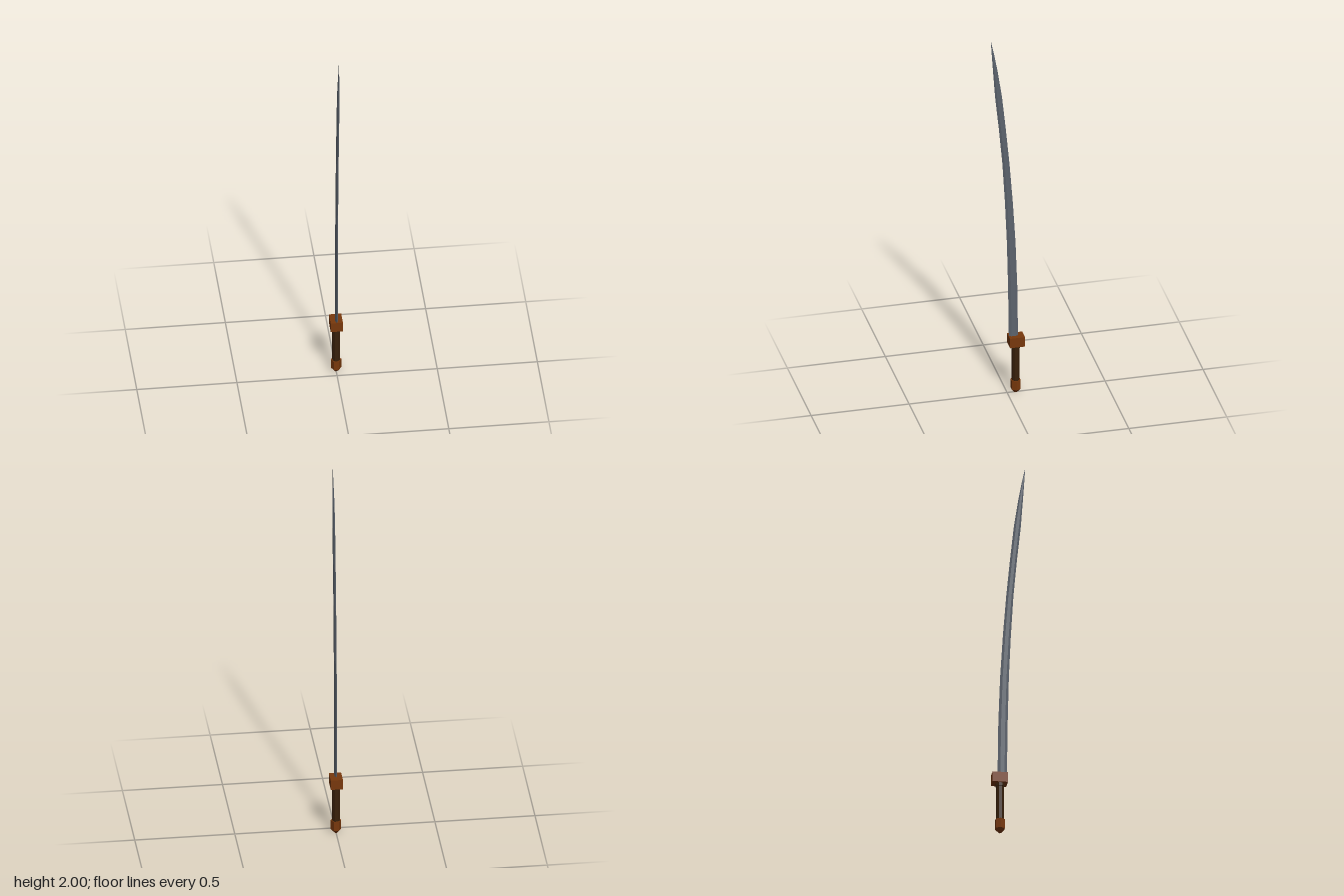
import * as THREE from 'three';

const mat = (name, color) => {
  const m = new THREE.MeshStandardMaterial({ color, flatShading: true });
  m.name = name;
  return m;
};

// Blade stations: height, back z, edge z, half thickness
const STATIONS = [
  [0.30, -0.056, -0.009, 0.006],
  [0.60, -0.052, -0.005, 0.006],
  [0.85, -0.043, 0.001, 0.006],
  [1.08, -0.029, 0.011, 0.006],
  [1.30, -0.012, 0.024, 0.006],
  [1.50, 0.007, 0.042, 0.006],
  [1.68, 0.026, 0.061, 0.006],
  [1.82, 0.047, 0.071, 0.005],
  [1.92, 0.065, 0.078, 0.002],
  [2.00, 0.082, 0.083, 0.0003],
];

// Six-sided cross-sections joined up the curve, with bevels at back and edge
function bladeGeometry() {
  const pos = [], idx = [];
  for (const [y, back, edge, t] of STATIONS) {
    const at = (f) => back + (edge - back) * f;
    pos.push(0, y, at(0), -t, y, at(0.28), -t, y, at(0.72),
      0, y, at(1), t, y, at(0.72), t, y, at(0.28));
  }
  const rows = STATIONS.length;
  for (let r = 0; r < rows - 1; r++) {
    for (let i = 0; i < 6; i++) {
      const a = r * 6 + i, b = r * 6 + (i + 1) % 6;
      idx.push(a, b, b + 6, a, b + 6, a + 6);
    }
  }
  // End caps
  const top = (rows - 1) * 6;
  for (let i = 1; i < 5; i++) {
    idx.push(0, i + 1, i, top, top + i, top + i + 1);
  }
  const g = new THREE.BufferGeometry();
  g.setAttribute('position', new THREE.Float32BufferAttribute(pos, 3));
  g.setIndex(idx);
  const flat = g.toNonIndexed();
  flat.computeVertexNormals();
  return flat;
}

export function createModel() {
  const group = new THREE.Group();
  group.name = 'curvedSword';
  const steel = mat('steel', 0x5c636d);
  const wood = mat('brownWood', 0x78380c);
  const leather = mat('darkLeather', 0x38200a);
  const hiltZ = -0.0435;

  const add = (name, geometry, material, y = 0, z = 0) => {
    const mesh = new THREE.Mesh(geometry, material);
    mesh.name = name;
    mesh.position.set(0, y, z);
    group.add(mesh);
  };

  add('blade', bladeGeometry(), steel);
  add('guard', new THREE.BoxGeometry(0.061, 0.053, 0.077), wood, 0.2925, hiltZ - 0.003);

  // Octagonal grip with a slim collar under the guard
  const prism = (top, bottom, h, sides, start) =>
    new THREE.CylinderGeometry(top, bottom, h, sides, 1, false, start);
  add('grip', prism(0.02, 0.02, 0.21, 8, Math.PI / 8), leather, 0.165, hiltZ);
  add('gripCollar', prism(0.023, 0.023, 0.018, 8, Math.PI / 8), leather, 0.259, hiltZ);

  // Hexagonal pommel, narrowing at the foot
  add('pommel', prism(0.026, 0.026, 0.05, 6, Math.PI / 2), wood, 0.045, hiltZ);
  add('pommelFoot', prism(0.026, 0.008, 0.02, 6, Math.PI / 2), wood, 0.01, hiltZ);

  return group;
}
